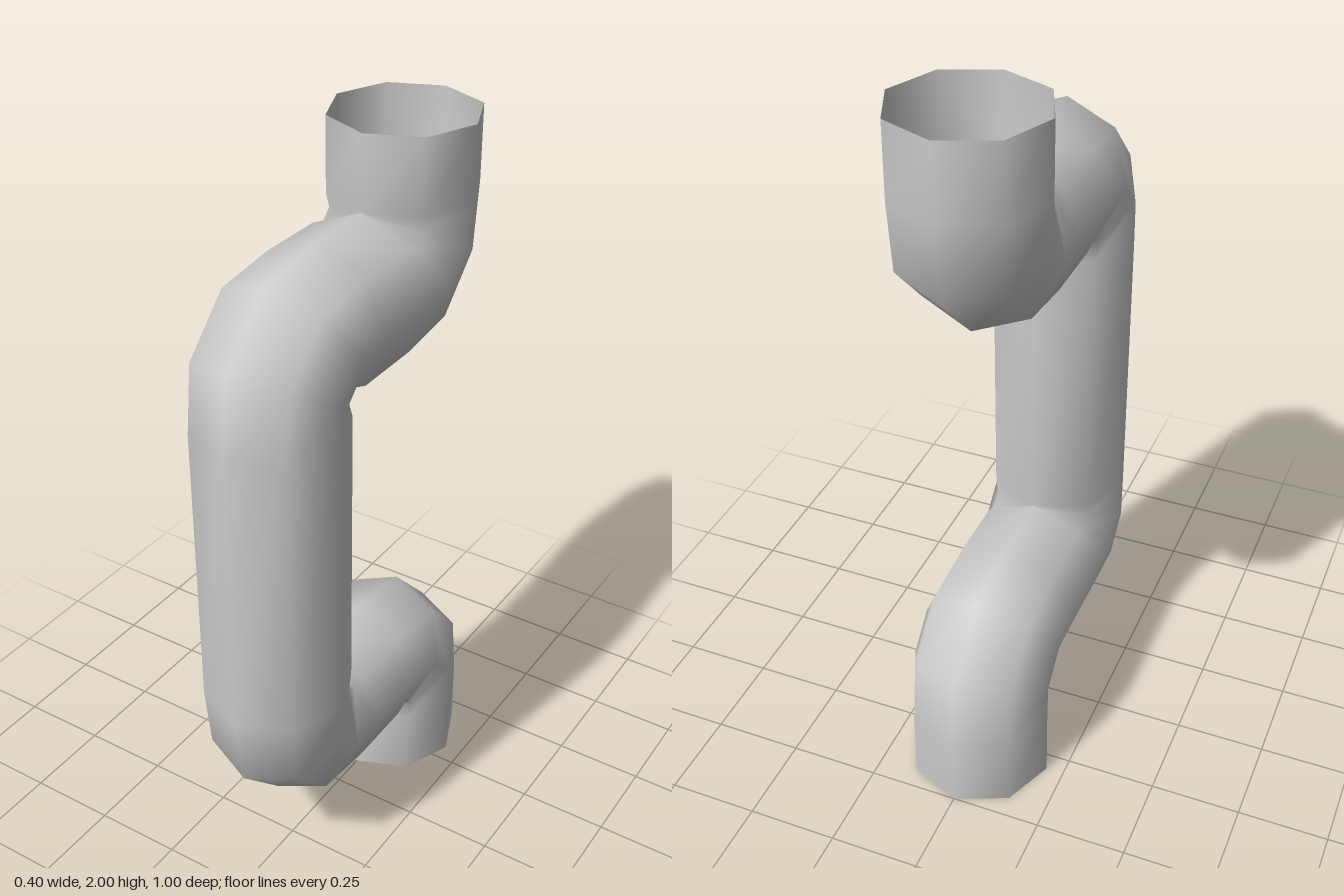
import * as THREE from 'three';

const SIDES = 8;
const RADIUS = 0.2;

// Rings of one elbow: pivot (z, y), bend angles in degrees, side = -1 or 1 of the pivot.
function elbow(pz, py, angles, side) {
  return angles.map((deg) => {
    const a = THREE.MathUtils.degToRad(deg);
    const r = deg % 90 === 0 ? 0.2 : 0.227; // the bend bulges slightly past a true arc
    return { z: pz + side * r * Math.cos(a), y: py - side * r * Math.sin(a), a };
  });
}

// Skin a tube through rings whose tangent leans from +y toward +z by angle a.
function tube(rings) {
  const pos = [], index = [];
  rings.forEach(({ z, y, a }, j) => {
    for (let i = 0; i < SIDES; i++) {
      const t = (i / SIDES) * Math.PI * 2;
      const out = RADIUS * Math.cos(t);
      pos.push(RADIUS * Math.sin(t), y + out * Math.sin(a), z - out * Math.cos(a));
      if (j === rings.length - 1) continue;
      const p = j * SIDES + i, q = j * SIDES + ((i + 1) % SIDES);
      index.push(p, p + SIDES, q, q, p + SIDES, q + SIDES);
    }
  });
  const geo = new THREE.BufferGeometry();
  geo.setAttribute('position', new THREE.Float32BufferAttribute(pos, 3));
  geo.setIndex(index);
  geo.computeVertexNormals();
  return geo;
}

export function createModel() {
  const group = new THREE.Group();
  group.name = 'pipeDetour';

  // Lower half: open end, elbow forward, elbow back to vertical
  const lower = [
    { z: -0.3, y: 0, a: 0 },
    ...elbow(-0.1, 0.2, [0, 30, 60, 90], -1),
    ...elbow(0.1, 0.6, [90, 60, 30, 0], 1),
  ];
  // Upper half mirrors it about y = 1
  const upper = lower.map(({ z, y, a }) => ({ z, y: 2 - y, a: -a })).reverse();

  const pipe = new THREE.Mesh(
    tube([...lower, ...upper]),
    new THREE.MeshStandardMaterial({ color: 0xcccccc, side: THREE.DoubleSide })
  );
  pipe.name = 'pipe';
  group.add(pipe);
  return group;
}
